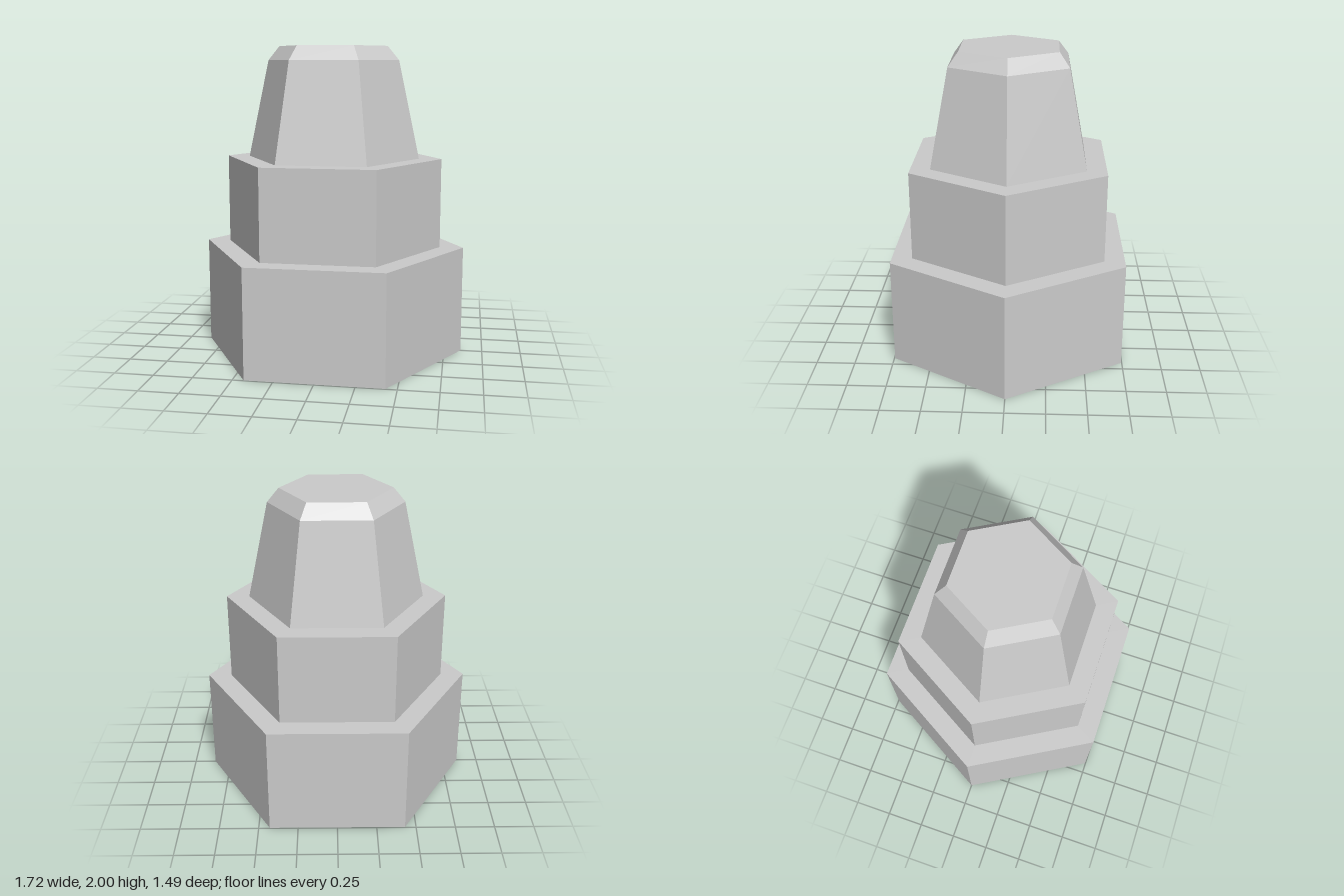
import * as THREE from 'three';

const material = new THREE.MeshStandardMaterial({ color: 0xcccccc, flatShading: true });

// Hexagonal prism or frustum between two heights, with corners on the x axis
function hexTier(name, bottomRadius, topRadius, y0, y1) {
  const geometry = new THREE.CylinderGeometry(
    topRadius, bottomRadius, y1 - y0, 6, 1, false, Math.PI / 6);
  geometry.translate(0, (y0 + y1) / 2, 0);
  const mesh = new THREE.Mesh(geometry, material);
  mesh.name = name;
  return mesh;
}

export function createModel() {
  const group = new THREE.Group();
  group.name = 'steppedHexagonalTower';
  group.add(
    // Two straight stacked tiers
    hexTier('baseTier', 0.86, 0.86, 0, 0.7),
    hexTier('middleTier', 0.708, 0.708, 0.7, 1.28),
    // Tapered upper tier with a bevelled cap
    hexTier('taperedTier', 0.563, 0.427, 1.28, 1.91),
    hexTier('bevelledCap', 0.427, 0.353, 1.91, 2),
  );
  return group;
}
